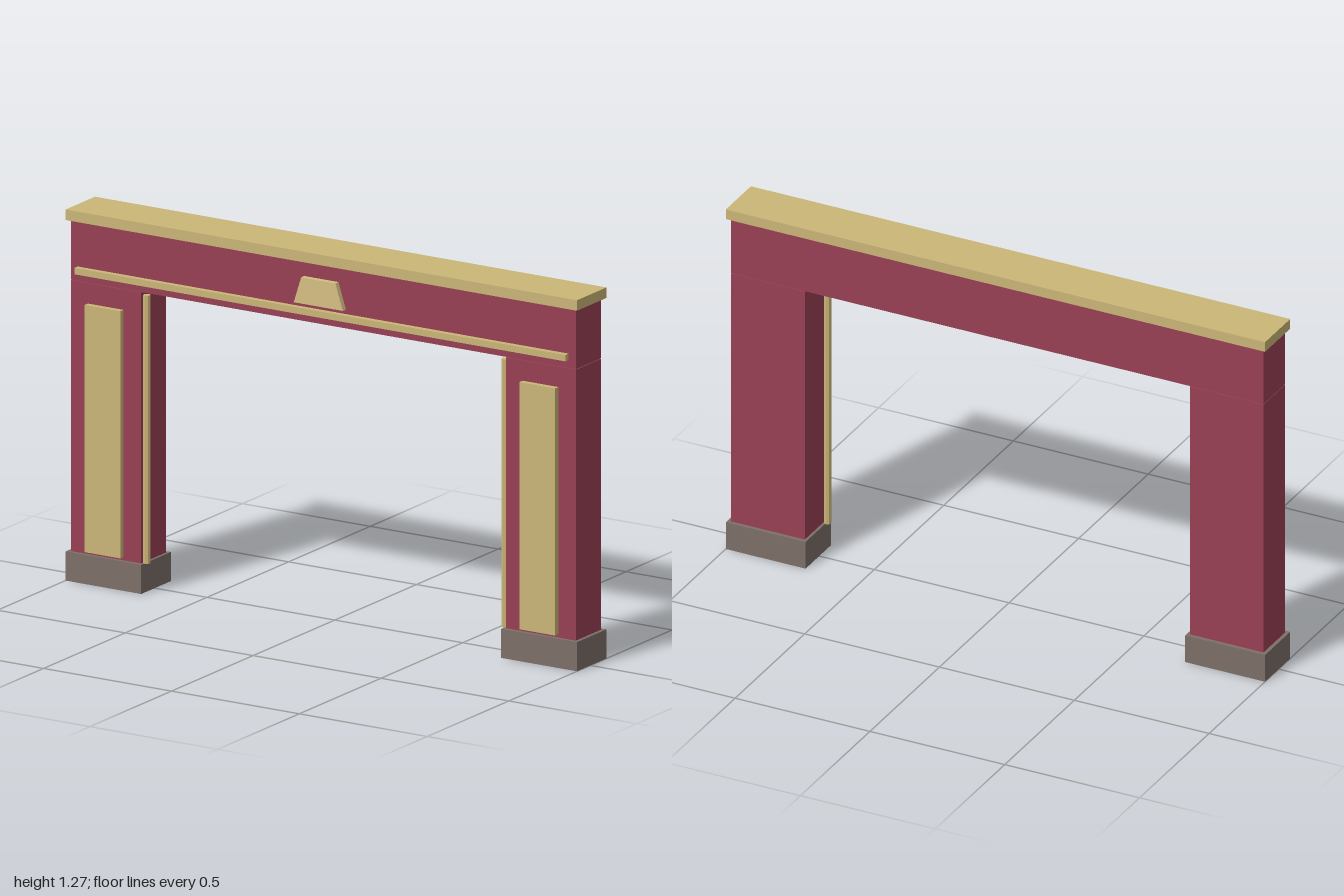
import * as THREE from 'three';

const material = (color) => new THREE.MeshStandardMaterial({ color, flatShading: true });

export function createModel() {
  const model = new THREE.Group();
  model.name = 'gateway';
  const red = material(0x994055);
  const gold = material(0xcbb677);
  const paleGold = material(0xd6c083);
  const stone = material(0x7d7068);

  const add = (name, geometry, mat) => {
    const mesh = new THREE.Mesh(geometry, mat);
    mesh.name = name;
    model.add(mesh);
    return mesh;
  };
  // Box given by its extents along each axis
  const box = (name, mat, [x0, x1], [y0, y1], [z0, z1]) =>
    add(name, new THREE.BoxGeometry(x1 - x0, y1 - y0, z1 - z0), mat)
      .position.set((x0 + x1) / 2, (y0 + y1) / 2, (z0 + z1) / 2);

  const bodyZ = [-0.084, 0.069];
  const wideZ = [-0.098, 0.083];
  const trimZ = [0.071, 0.091];

  // Mirrored pillars: footing, shaft, raised panel and slim inner rod
  for (const [side, s] of [['left', 1], ['right', -1]]) {
    const span = (a, b) => (s > 0 ? [a, b] : [-b, -a]);
    box(side + 'Footing', stone, span(0.704, 1), [0, 0.1], wideZ);
    box(side + 'Pillar', red, span(0.714, 0.987), [0.1, 1.029], bodyZ);
    box(side + 'Panel', gold, span(0.78, 0.92), [0.112, 0.96], trimZ);
    const rod = add(side + 'Rod', new THREE.CylinderGeometry(0.0125, 0.0125, 0.92, 8), gold);
    rod.position.set(s * 0.7, 0.56, 0.054);
  }

  // Crossbeam, its cap and moulding
  box('lintel', red, [-0.987, 0.987], [1.031, 1.237], bodyZ);
  box('cap', gold, [-1, 1], [1.237, 1.273], wideZ);
  box('moulding', gold, [-0.96, 0.96], [1.059, 1.081], trimZ);

  // Tapered keystone plate
  const outline = new THREE.Shape([
    new THREE.Vector2(-0.096, 1.1), new THREE.Vector2(0.096, 1.1),
    new THREE.Vector2(0.067, 1.19), new THREE.Vector2(-0.067, 1.19),
  ]);
  const plate = new THREE.ExtrudeGeometry(outline, { depth: 0.019, bevelEnabled: false });
  add('keystone', plate, paleGold).position.z = 0.082;

  return model;
}
